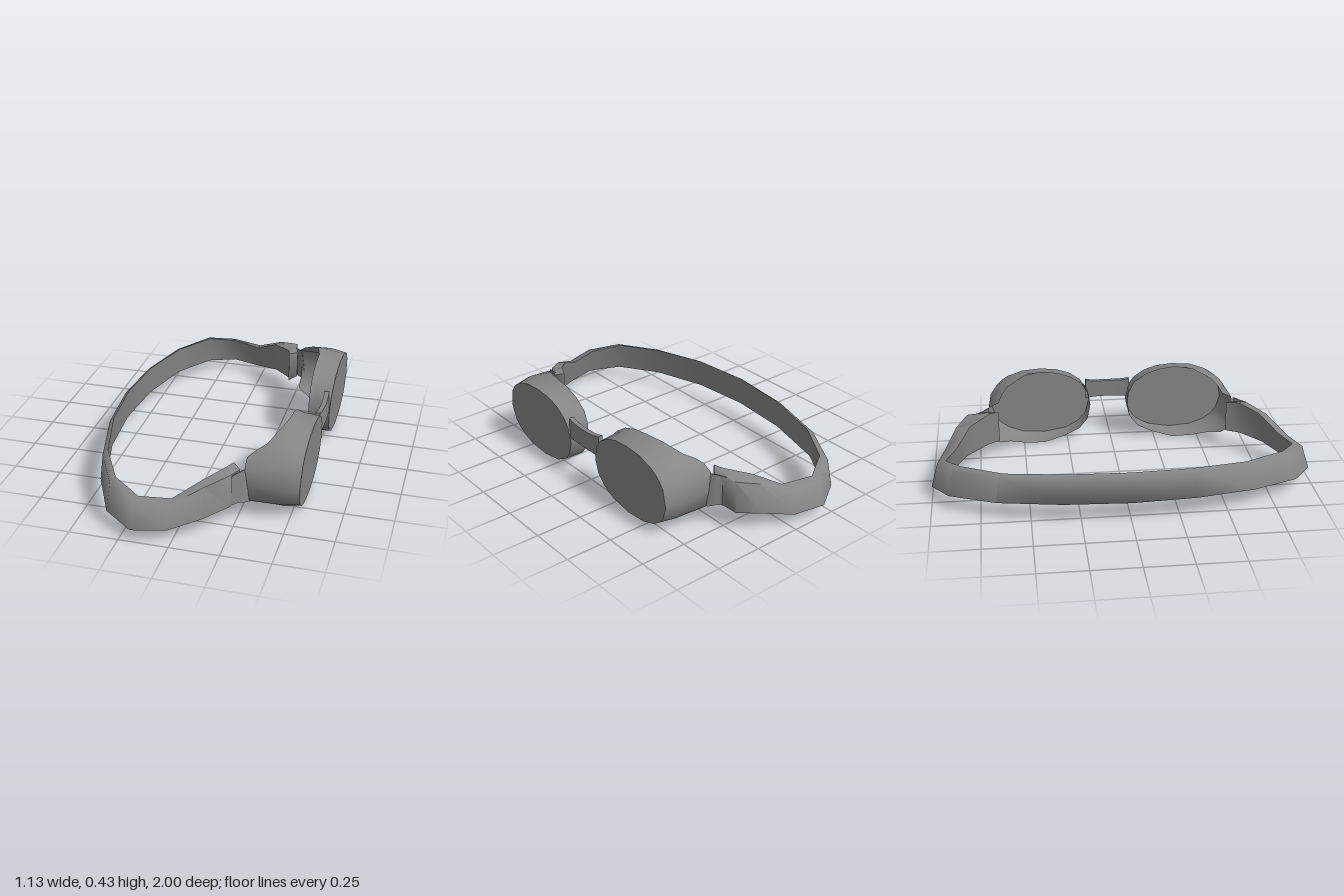
import * as THREE from 'three';
import { toCreasedNormals } from 'three/addons/utils/BufferGeometryUtils.js';

const material = new THREE.MeshStandardMaterial({ color: 0x868686, side: THREE.DoubleSide });

// Skin a list of equal-length rings of [x, y, z] points, with optional end caps
function loft(name, rings, { capStart = false, capEnd = false, crease = 1.3 } = {}) {
  const n = rings[0].length, pos = rings.flat(2), index = [];
  for (let r = 0; r < rings.length - 1; r++) {
    for (let i = 0; i < n; i++) {
      const a = r * n + i, b = r * n + (i + 1) % n;
      index.push(a, b, a + n, b, b + n, a + n);
    }
  }
  const last = (rings.length - 1) * n;
  for (let i = 1; i < n - 1; i++) {
    if (capStart) index.push(0, i + 1, i);
    if (capEnd) index.push(last, last + i, last + i + 1);
  }
  const g = new THREE.BufferGeometry();
  g.setAttribute('position', new THREE.Float32BufferAttribute(pos, 3));
  g.setIndex(index);
  const mesh = new THREE.Mesh(toCreasedNormals(g, crease), material);
  mesh.name = name;
  return mesh;
}

// Face-side edge of an eye cup, from the outer side over the top
const sealEdge = [
  [0.29, 0.19, 0.685], [0.285, 0.29, 0.678], [0.283, 0.315, 0.625], [0.32, 0.347, 0.605],
  [0.37, 0.375, 0.57], [0.415, 0.415, 0.48], [0.44, 0.425, 0.38], [0.44, 0.413, 0.29],
  [0.44, 0.385, 0.21], [0.44, 0.335, 0.14], [0.44, 0.27, 0.112], [0.44, 0.2, 0.11],
  [0.44, 0.13, 0.122], [0.44, 0.07, 0.17], [0.44, 0.03, 0.25], [0.42, 0.0, 0.37],
  [0.405, 0.01, 0.48], [0.37, 0.04, 0.57], [0.285, 0.075, 0.625], [0.285, 0.105, 0.678],
];

// Slightly squared sine or cosine for the oval outlines
const soften = (v) => Math.sign(v) * Math.abs(v) ** 0.9;

function eyeCup(side) {
  const group = new THREE.Group();
  group.name = side > 0 ? 'leftCup' : 'rightCup';
  const place = ([x, y, z]) => [x, y, side * z - 0.012];
  const oval = (x, lean, cy, cz, ry, rz) => sealEdge.map(([, y, z]) => {
    const a = Math.atan2((y - 0.205) / 0.2, (z - 0.385) / 0.28);
    const c = soften(Math.cos(a)), s = soften(Math.sin(a));
    return place([x + lean * s, cy + ry * s, cz + rz * c]);
  });
  const middle = oval(0.47, 0.005, 0.208, 0.395, 0.203, 0.292);
  const front = oval(0.552, 0.007, 0.205, 0.387, 0.195, 0.28);
  group.add(loft('cupWall', [sealEdge.map(place), middle, front]));

  // Flat lens closing the front
  group.add(loft('lens', [front, front.map(([x, y, z]) => [x + 0.002, y, z])], { capEnd: true }));
  return group;
}

// Strap stations: outer x, outer z, inner x, inner z, bottom, top, inward lean of the top
const stations = [
  [0.262, -0.69, 0.222, -0.64, 0.115, 0.285, 0.0],
  [0.24, -0.825, 0.215, -0.7, 0.1, 0.285, 0.015],
  [0.13, -0.895, 0.11, -0.82, 0.085, 0.26, 0.025],
  [-0.02, -0.97, -0.02, -0.905, 0.055, 0.19, 0.035],
  [-0.19, -1.0, -0.18, -0.955, 0.055, 0.2, 0.035],
  [-0.335, -0.91, -0.318, -0.87, 0.07, 0.23, 0.03],
  [-0.465, -0.67, -0.447, -0.645, 0.085, 0.24, 0.02],
  [-0.54, -0.34, -0.523, -0.325, 0.095, 0.255, 0.015],
  [-0.565, 0, -0.547, 0, 0.098, 0.26, 0.013],
  [-0.54, 0.33, -0.523, 0.315, 0.095, 0.255, 0.015],
  [-0.465, 0.645, -0.447, 0.615, 0.085, 0.24, 0.02],
  [-0.345, 0.89, -0.328, 0.85, 0.07, 0.23, 0.035],
  [-0.19, 0.998, -0.18, 0.945, 0.055, 0.2, 0.04],
  [-0.02, 0.955, -0.02, 0.905, 0.055, 0.19, 0.035],
  [0.13, 0.86, 0.11, 0.815, 0.085, 0.26, 0.03],
  [0.235, 0.755, 0.2, 0.705, 0.105, 0.29, 0.015],
  [0.262, 0.665, 0.222, 0.625, 0.115, 0.285, 0.0],
];

function strap() {
  const rings = stations.map(([ox, oz, ix, iz, lo, hi, lean]) => {
    const d = Math.hypot(ox, oz), dx = -ox / d * lean, dz = -oz / d * lean;
    return [
      [ox, lo + 0.008, oz], [ox + dx, hi - 0.012, oz + dz],
      [ix + dx, hi, iz + dz], [ix, lo, iz],
    ];
  });
  return loft('strap', rings, { capStart: true, capEnd: true });
}

// Thin plate joining the strap end to the cup, its cup-side edge slanted
function connector(side) {
  const z = (v) => side * v - 0.008;
  const ring = (xLo, xHi, lo, hi, zc) => [
    [xLo, lo, z(zc + 0.005)], [xHi, hi, z(zc + 0.005)],
    [xHi, hi, z(zc - 0.005)], [xLo, lo, z(zc - 0.005)],
  ];
  return loft(side > 0 ? 'leftConnector' : 'rightConnector', [
    ring(0.24, 0.24, 0.115, 0.275, 0.745),
    ring(0.268, 0.265, 0.113, 0.28, 0.71),
    ring(0.312, 0.287, 0.11, 0.285, 0.688),
  ], { capStart: true, capEnd: true });
}

// Nose bridge: a slim bowed band running between the cups
function noseBridge() {
  const rings = [];
  for (let i = 0; i <= 8; i++) {
    const t = i / 4 - 1, f = t * t * t * t;
    const z = 0.125 * t - 0.012, x = 0.557 - 0.008 * t * t;
    const lo = 0.226 - 0.008 * f, hi = 0.322 + 0.01 * f;
    rings.push([[x, lo, z], [x - 0.005, hi, z], [x - 0.03, hi, z], [x - 0.025, lo, z]]);
  }
  return loft('noseBridge', rings, { capStart: true, capEnd: true });
}

export function createModel() {
  const model = new THREE.Group();
  model.name = 'swimmingGoggles';
  model.add(strap(), noseBridge());
  for (const side of [1, -1]) model.add(eyeCup(side), connector(side));
  return model;
}
